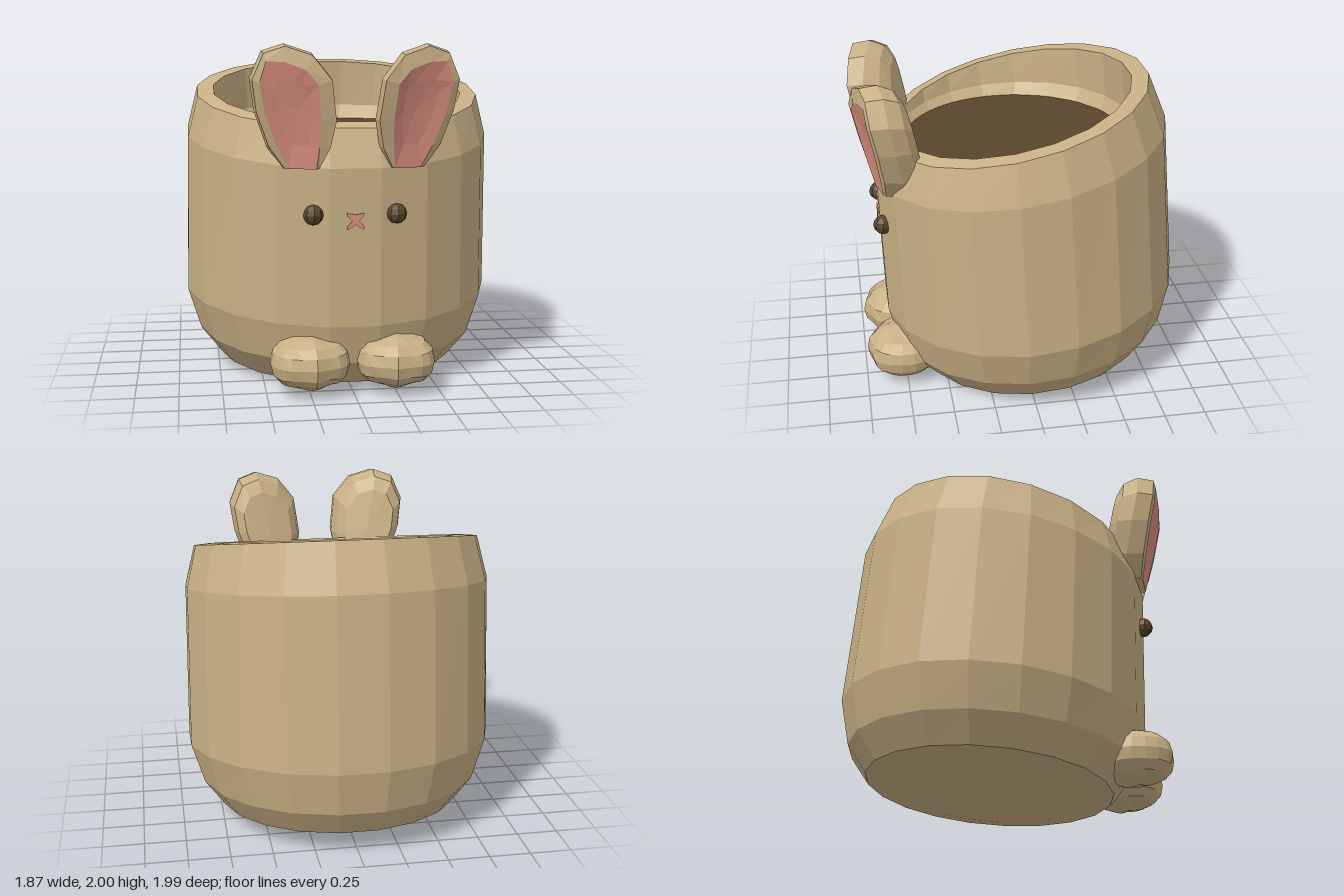
import * as THREE from 'three';

const material = (name, color) => {
  const m = new THREE.MeshStandardMaterial({ color, flatShading: true });
  m.name = name;
  return m;
};

// Skin a stack of closed loops, each an array of [x, y, z]
function loft(loops) {
  const n = loops[0].length;
  const index = [];
  for (let i = 0; i < loops.length - 1; i++) {
    for (let j = 0; j < n; j++) {
      const k = (j + 1) % n;
      const a = i * n + j, b = i * n + k, c = b + n, d = a + n;
      index.push(a, b, c, a, c, d);
    }
  }
  const g = new THREE.BufferGeometry();
  g.setAttribute('position', new THREE.Float32BufferAttribute(loops.flat(2), 3));
  g.setIndex(index);
  const flat = g.toNonIndexed();
  flat.computeVertexNormals();
  return flat;
}

// Tilted oval ring given by its front and back points and half width
const SIDES = 20;
function ring([zf, yf, zb, yb, rx]) {
  const grow = 1 / Math.cos(Math.PI / SIDES);
  return Array.from({ length: SIDES }, (_, j) => {
    const a = ((j + 0.5) / SIDES) * Math.PI * 2;
    const t = (1 - Math.cos(a) * grow) / 2;
    return [Math.sin(a) * rx * grow, yf + (yb - yf) * t, zf + (zb - zf) * t];
  });
}

// Boxy ellipsoid with two shallow grooves that part three toes
function pawGeometry() {
  const g = new THREE.SphereGeometry(1, 20, 8);
  const p = g.attributes.position;
  const boxy = (v) => Math.sign(v) * Math.abs(v) ** 0.88;
  for (let i = 0; i < p.count; i++) {
    const x = p.getX(i), y = p.getY(i), z = p.getZ(i);
    const toe = z > 0 ? 0.95 + 0.05 * Math.cos((Math.PI * 2 * x) / 0.75) : 1;
    p.setXYZ(i, boxy(x) * 0.23, boxy(y) * 0.157 * toe, boxy(z) * 0.225 * toe);
  }
  g.computeVertexNormals();
  return g;
}

export function createModel() {
  const clay = material('beige clay', 0xc8b085);
  const pink = material('pink', 0xd88e7f);
  const brown = material('dark brown', 0x59452b);
  const model = new THREE.Group();
  model.name = 'bunnyPlanter';
  const add = (name, geometry, mat, parent = model) => {
    const mesh = new THREE.Mesh(geometry, mat);
    mesh.name = name;
    parent.add(mesh);
    return mesh;
  };

  // Pot: underside, outer wall, rim, inner wall and chamfer down to the soil
  add('pot', loft([
    [-0.1, 0.045, -0.1, 0.045, 0],
    [0.46, 0, -0.66, 0.095, 0.56],
    [0.64, 0.015, -0.83, 0.14, 0.74],
    [0.78, 0.17, -0.94, 0.31, 0.86],
    [0.84, 0.4, -0.99, 0.58, 0.937],
    [0.87, 1.31, -0.9, 1.6, 0.922],
    [0.8, 1.53, -0.785, 1.88, 0.86],
    [0.72, 1.56, -0.685, 1.865, 0.76],
    [0.71, 1.52, -0.71, 1.57, 0.73],
    [0.67, 1.47, -0.67, 1.47, 0.67],
  ].map(ring)), clay);

  // Soil
  const soil = add('soil', new THREE.CircleGeometry(0.68, 48), brown);
  soil.rotation.x = -Math.PI / 2;
  soil.position.y = 1.48;

  // Ear outlines, counterclockwise, for the +x side
  const outer = [[0.2, 1.3], [0.4, 1.3], [0.49, 1.43], [0.56, 1.63], [0.585, 1.81],
    [0.52, 1.96], [0.4, 2.0], [0.25, 1.95], [0.14, 1.81], [0.11, 1.58], [0.14, 1.42]];
  const inner = [[0.22, 1.31], [0.37, 1.31], [0.44, 1.44], [0.505, 1.62], [0.535, 1.79],
    [0.5, 1.905], [0.4, 1.9], [0.29, 1.86], [0.22, 1.78], [0.2, 1.58], [0.205, 1.45]];
  const earLoop = (outline, scale, depth, side) => {
    const loop = outline.map(([px, py]) => {
      const x = 0.33 + (px - 0.33) * scale;
      const y = 1.64 + (py - 1.64) * scale;
      const z = 0.86 + (Math.min(y, 1.82) - 1.31) * 0.24 - (x - 0.3) * 0.24 - depth;
      return [x * side, y, z];
    });
    return side < 0 ? loop.reverse() : loop;
  };

  for (const side of [1, -1]) {
    const prefix = side > 0 ? 'left' : 'right';

    // Ear with a rounded back and a shallow pink hollow
    const ear = new THREE.Group();
    ear.name = prefix + 'Ear';
    model.add(ear);
    add('earShell', loft([
      earLoop(outer, 0, 0.27, side),
      earLoop(outer, 0.68, 0.255, side),
      earLoop(outer, 0.9, 0.2, side),
      earLoop(outer, 1, 0.11, side),
      earLoop(outer, 0.96, 0.01, side),
      earLoop(inner, 1, 0, side),
    ]), clay, ear);
    add('innerEar', loft([
      earLoop(inner, 1, 0, side),
      earLoop(inner, 0.6, 0.02, side),
      earLoop(inner, 0, 0.03, side),
    ]), pink, ear);

    // Eye
    const eye = add(prefix + 'Eye', new THREE.SphereGeometry(0.058, 8, 6), brown);
    eye.position.set(0.237 * side, 1.05, 0.85);

    // Paw
    const paw = add(prefix + 'Paw', pawGeometry(), clay);
    paw.position.set(0.25 * side, 0.185, 0.765);
    paw.rotation.y = -0.1 * side;
  }

  // Nose with a split mouth below it
  const face = new THREE.Shape([[-0.05, 0.045], [-0.045, 0.025], [-0.018, 0], [-0.05, -0.033],
    [-0.045, -0.05], [0, -0.022], [0.045, -0.05], [0.05, -0.033], [0.018, 0], [0.045, 0.025],
    [0.05, 0.045], [0, 0.035]].map(([x, y]) => new THREE.Vector2(x, y)));
  const nose = add('noseAndMouth',
    new THREE.ExtrudeGeometry(face, { depth: 0.009, bevelEnabled: false }), pink);
  nose.position.set(0, 1.015, 0.864);

  return model;
}
